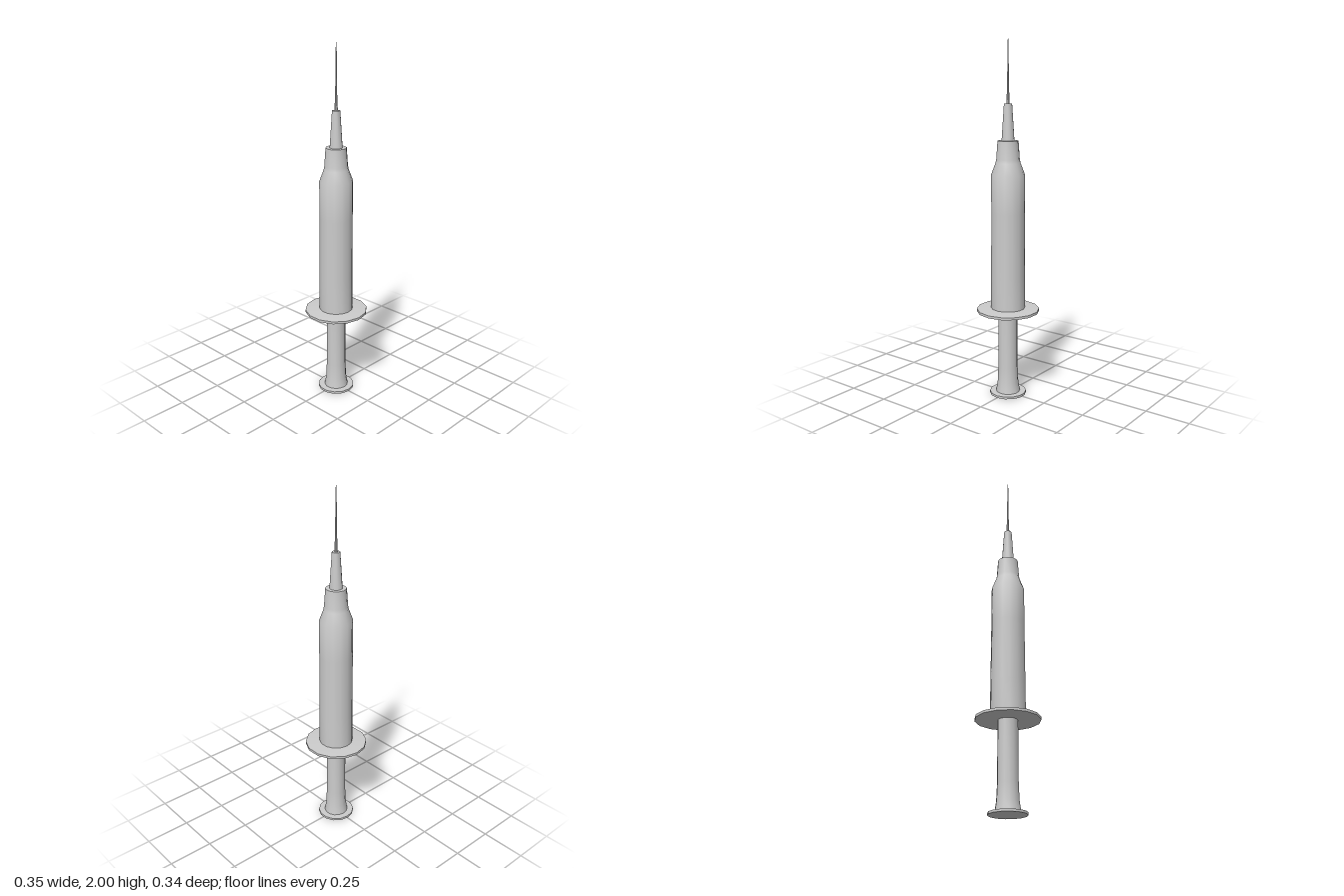
import * as THREE from 'three';
import { toCreasedNormals } from 'three/addons/utils/BufferGeometryUtils.js';

export function createModel() {
  const model = new THREE.Group();
  model.name = 'syringe';
  const material = new THREE.MeshStandardMaterial({ color: 0xcccccc });

  // Turned part from [radius, height] pairs, listed bottom to top, with a corner on the x axis
  function turned(name, profile, sides = 14) {
    const points = profile.map(([r, y]) => new THREE.Vector2(r, y));
    const lathe = new THREE.LatheGeometry(points, sides);
    lathe.rotateY(Math.PI / 2);
    const mesh = new THREE.Mesh(toCreasedNormals(lathe, Math.PI * 0.2), material);
    mesh.name = name;
    model.add(mesh);
  }

  // Thumb disc at the foot of the plunger
  turned('thumbRest', [[0, 0], [0.103, 0], [0.103, 0.013], [0, 0.015]]);

  // Plunger rod, flaring towards the thumb disc
  turned('plunger', [[0.068, 0.013], [0.059, 0.07], [0.055, 0.16], [0.054, 0.495]]);

  // Finger flange
  turned('fingerFlange', [[0, 0.489], [0.176, 0.489], [0.176, 0.503], [0.095, 0.509], [0, 0.509]]);

  // Barrel with sloped shoulder, tapered neck and flat top
  turned('barrel', [
    [0.095, 0.505], [0.094, 0.7], [0.092, 1.05], [0.092, 1.262],
    [0.068, 1.325], [0.064, 1.345], [0.057, 1.445], [0, 1.445],
  ]);

  // Needle hub
  turned('needleHub', [[0.035, 1.443], [0.022, 1.643], [0, 1.643]]);

  // Needle with thicker root and fine point
  turned('needle', [
    [0.009, 1.64], [0.005, 1.74], [0.004, 1.83], [0.003, 1.95], [0, 2],
  ], 8);

  return model;
}
